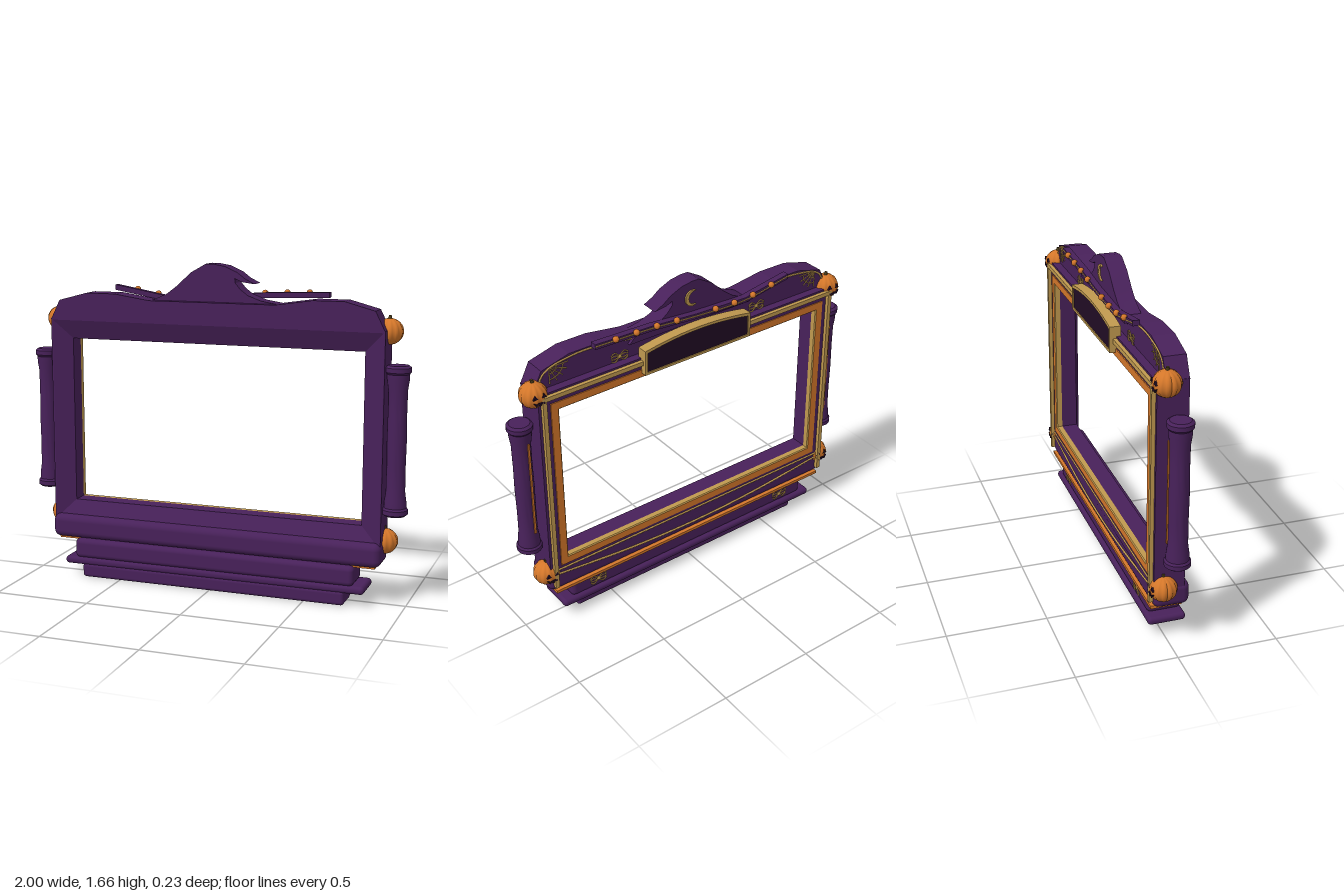
import * as THREE from 'three';
import { RoundedBoxGeometry } from 'three/addons/geometries/RoundedBoxGeometry.js';
import { toCreasedNormals } from 'three/addons/utils/BufferGeometryUtils.js';

const mat = (name, color) => {
  const m = new THREE.MeshStandardMaterial({ color });
  m.name = name;
  return m;
};

export function createModel() {
  const purple = mat('purple', 0x48215a);
  const orange = mat('orange', 0xd4772a);
  const gold = mat('gold', 0xc0994f);
  const dark = mat('darkPlum', 0x210c24);
  const stemBrown = mat('stemBrown', 0x4a3a18);
  const root = new THREE.Group();

  const add = (name, geo, material, x = 0, y = 0, z = 0, parent = root) => {
    const m = new THREE.Mesh(geo, material);
    m.name = name;
    m.position.set(x, y, z);
    parent.add(m);
    return m;
  };
  const box = (name, material, x0, x1, y0, y1, z0, z1) =>
    add(name, new THREE.BoxGeometry(x1 - x0, y1 - y0, z1 - z0), material, (x0 + x1) / 2, (y0 + y1) / 2, (z0 + z1) / 2);
  const slab = (name, hw, y0, y1, z0, z1, r) =>
    add(name, new RoundedBoxGeometry(hw * 2, y1 - y0, z1 - z0, 4, r), purple, 0, (y0 + y1) / 2, (z0 + z1) / 2);
  const shape = pts => new THREE.Shape(pts.map(p => new THREE.Vector2(...p)));
  const plate = (pts, depth, hole) => {
    const s = shape(pts);
    if (hole) s.holes.push(shape(hole));
    return new THREE.ExtrudeGeometry(s, { depth, bevelEnabled: false });
  };
  const wire = (name, pts, r, material, parent = root) => {
    const curve = new THREE.CatmullRomCurve3(pts.map(p => new THREE.Vector3(...p)));
    return add(name, new THREE.TubeGeometry(curve, 32, r, 6), material, 0, 0, 0, parent);
  };

  // Sweep a profile of [inset, z] pairs around the mitred opening
  const sign = [[-1, -1], [1, -1], [1, 1], [-1, 1]];
  const ring = (name, profile, material) => {
    const v = [];
    const pt = (k, [d, z]) => [sign[k % 4][0] * (0.88 - d), sign[k % 4][1] * (0.535 - d), z];
    for (let k = 0; k < 4; k++) for (let j = 0; j + 1 < profile.length; j++) {
      const a = pt(k, profile[j]), b = pt(k + 1, profile[j]);
      const c = pt(k + 1, profile[j + 1]), d = pt(k, profile[j + 1]);
      v.push(...a, ...b, ...c, ...a, ...c, ...d);
    }
    const g = new THREE.BufferGeometry();
    g.setAttribute('position', new THREE.Float32BufferAttribute(v, 3));
    g.computeVertexNormals();
    add(name, g, material, 0, 0.83, 0);
  };

  // Stepped base and bottom roll
  slab('plinth', 0.71, 0, 0.075, -0.04, 0.11, 0.018);
  slab('baseLedge', 0.81, 0.065, 0.105, -0.08, 0.11, 0.018);
  slab('baseSlab', 0.755, 0.1, 0.203, -0.068, 0.106, 0.025);
  slab('bottomRoll', 0.885, 0.203, 0.325, -0.08, 0.1, 0.035);
  box('baseTrim', orange, -0.855, 0.855, 0.194, 0.21, -0.088, 0.07);

  // Picture frame: sloped front, deep jamb, orange inner border with gold lip on the back
  ring('frame', [[0.062, -0.082], [0, -0.082], [0, 0.07], [0.008, 0.07], [0.105, 0.03], [0.105, -0.055]], purple);
  ring('innerLip', [[0.105, -0.055], [0.105, -0.082], [0.1, -0.087]], gold);
  ring('innerBorder', [[0.1, -0.087], [0.062, -0.087], [0.062, -0.082]], orange);

  // Gold bars and cords on the back of the frame
  for (const s of [-1, 1]) box('backSideBar', gold, s * 0.855 - 0.011, s * 0.855 + 0.011, 0.24, 1.355, -0.101, -0.081);
  box('backTopBar', gold, -0.855, 0.855, 1.333, 1.355, -0.101, -0.081);
  wire('backSwag', [[-0.84, 0.31, -0.082], [-0.4, 0.265, -0.082], [0, 0.25, -0.082], [0.4, 0.265, -0.082], [0.84, 0.31, -0.082]], 0.006, gold);
  wire('backLowerLine', [[-0.84, 0.335, -0.082], [0, 0.335, -0.082], [0.84, 0.335, -0.082]], 0.006, gold);

  // Header board with shoulders
  const shoulder = [[0.88, 1.36], [0.83, 1.46], [0.68, 1.5], [0.52, 1.5], [0.33, 1.472]];
  const mirrored = shoulder.map(([x, y]) => [-x, y]).reverse();
  add('header', plate([...shoulder, ...mirrored], 0.11), purple, 0, 0, -0.04);
  for (const s of [-1, 1]) {
    const path = shoulder.map(([x, y]) => [s * (x - 0.012), y - 0.014, -0.041]);
    wire('headerEdgeLine', path, 0.005, gold);
  }

  // Wave crest with a curling tip
  const crest = [[-0.36, 1.44], [0.36, 1.44], [0.33, 1.472], [0.25, 1.485], [0.18, 1.51], [0.14, 1.54], [0.115, 1.57],
    [0.112, 1.592], [0.15, 1.575], [0.215, 1.567], [0.165, 1.592], [0.125, 1.622], [0.06, 1.65], [0, 1.66], [-0.04, 1.66],
    [-0.12, 1.615], [-0.19, 1.55], [-0.25, 1.505], [-0.33, 1.472]];
  add('waveCrest', toCreasedNormals(plate(crest, 0.09), 0.5), purple, 0, 0, -0.057);

  // Crescent on the back of the crest
  const moon = [];
  for (let i = 0; i <= 12; i++) { const a = -2 + i / 3; moon.push([0.042 * Math.cos(a), 0.042 * Math.sin(a)]); }
  for (let i = 12; i >= 0; i--) { const a = -1.75 + i * 3.5 / 12; moon.push([-0.014 + 0.036 * Math.cos(a), 0.036 * Math.sin(a)]); }
  add('crescent', plate(moon, 0.008), gold, 0, 1.575, -0.065);

  // Rail behind the header, strung with beads
  const rail = [[-0.57, 1.525], [-0.3, 1.478], [0, 1.488], [0.25, 1.508], [0.57, 1.518]];
  const railY = x => {
    const i = rail.findIndex(p => p[0] >= x);
    const [a, b] = [rail[i - 1], rail[i]];
    return a[1] + (b[1] - a[1]) * (x - a[0]) / (b[0] - a[0]);
  };
  add('rail', plate([...rail.map(([x, y]) => [x, y - 0.015]), ...rail.map(([x, y]) => [x, y + 0.012]).reverse()], 0.035), purple, 0, 0, -0.09);
  wire('railCord', rail.map(([x, y]) => [x, y, -0.089]), 0.004, gold);
  for (const s of [-1, 1]) for (const bx of [0.115, 0.23, 0.345, 0.46])
    add('railBead', new THREE.SphereGeometry(0.016, 12, 8), orange, s * bx, railY(s * bx) + 0.008, -0.094);

  // Arched sign on the back
  const arch = (hw, y0, y1, rise) => {
    const pts = [[-hw, y0], [hw, y0]];
    for (let i = 0; i <= 12; i++) { const t = 1 - i / 6; pts.push([hw * t, y1 + rise * (1 - t * t)]); }
    return pts;
  };
  add('signFrame', plate(arch(0.315, 1.285, 1.415, 0.03), 0.055, arch(0.301, 1.298, 1.401, 0.03)), gold, 0, 0, -0.117);
  add('signPanel', plate(arch(0.304, 1.295, 1.404, 0.03), 0.03), dark, 0, 0, -0.112);

  // Ribbed corner pumpkins with faces on the back
  const pumpkinGeo = new THREE.SphereGeometry(1, 48, 16);
  const p = pumpkinGeo.attributes.position;
  for (let i = 0; i < p.count; i++) {
    const a = Math.atan2(p.getZ(i), p.getX(i));
    const k = 0.068 * (0.9 + 0.1 * Math.abs(Math.sin(a * 6)));
    p.setXYZ(i, p.getX(i) * k, p.getY(i) * 0.064, p.getZ(i) * k);
  }
  pumpkinGeo.computeVertexNormals();
  const mouth = [[-0.035, -0.008], [-0.018, -0.016], [-0.009, -0.011], [0, -0.018], [0.009, -0.011], [0.018, -0.016],
    [0.035, -0.008], [0.022, -0.028], [0.01, -0.023], [0, -0.032], [-0.01, -0.023], [-0.022, -0.028]];
  for (const s of [-1, 1]) for (const y of [0.315, 1.355]) {
    const g = new THREE.Group();
    g.name = 'cornerPumpkin';
    g.position.set(s * 0.877, y, -0.035);
    root.add(g);
    add('pumpkin', pumpkinGeo, orange, 0, 0, 0, g);
    const stem = add('stem', new THREE.CylinderGeometry(0.007, 0.011, 0.024, 8), stemBrown, 0, 0.066, 0, g);
    stem.rotation.z = -0.25 * s;
    for (const e of [-1, 1])
      add('eye', plate([[-0.013, 0], [0.013, 0], [0, 0.02]], 0.009), dark, e * 0.022, 0.008, -0.066, g);
    add('mouth', plate(mouth, 0.009), dark, 0, 0, -0.066, g);
  }

  // Turned side columns with a slim inlay on the back
  const half = [[0, 0.46], [0.05, 0.46], [0.063, 0.47], [0.063, 0.492], [0.055, 0.502], [0.054, 0.53], [0.047, 0.58], [0.046, 0.7], [0.048, 0.83]];
  const turned = [...half, ...half.slice(0, -1).reverse().map(([r, y]) => [r, 1.66 - y])];
  const columnGeo = toCreasedNormals(new THREE.LatheGeometry(turned.map(q => new THREE.Vector2(...q)), 28), 0.6);
  for (const s of [-1, 1]) {
    add('sideColumn', columnGeo, purple, s * 0.935, 0, 0.01);
    box('columnInlay', orange, s * 0.922 - 0.005, s * 0.922 + 0.005, 0.58, 1.1, -0.042, -0.03);
  }

  // Spider and cobweb ornaments on the back
  const spider = (x, y, z) => {
    const g = new THREE.Group();
    g.name = 'spiderOrnament';
    g.position.set(x, y, z);
    root.add(g);
    add('spiderBody', new THREE.SphereGeometry(0.011, 10, 8), gold, 0, 0, 0, g).scale.z = 0.5;
    for (const s of [-1, 1]) for (const dy of [-0.022, -0.008, 0.008, 0.022])
      wire('spiderLeg', [[0, 0, 0], [s * 0.025, dy * 1.1, 0], [s * 0.048, dy * 0.6, 0]], 0.003, gold, g);
  };
  for (const s of [-1, 1]) {
    spider(s * 0.6, 0.153, -0.07);
    spider(s * 0.41, 1.39, -0.043);
    const web = new THREE.Group();
    web.name = 'cobweb';
    web.position.set(s * 0.79, 1.465, -0.042);
    root.add(web);
    const webPoint = (i, r) => {
      const a = Math.PI * (1 + i / 8);
      return [s * Math.cos(a) * r, Math.sin(a) * r * 0.85, 0];
    };
    for (let i = 0; i <= 4; i++) wire('webSpoke', [[0, 0, 0], webPoint(i, 0.1)], 0.0025, gold, web);
    for (const r of [0.04, 0.075])
      wire('webThread', [0, 1, 2, 3, 4].map(i => webPoint(i, r)), 0.0025, gold, web);
  }
  return root;
}
